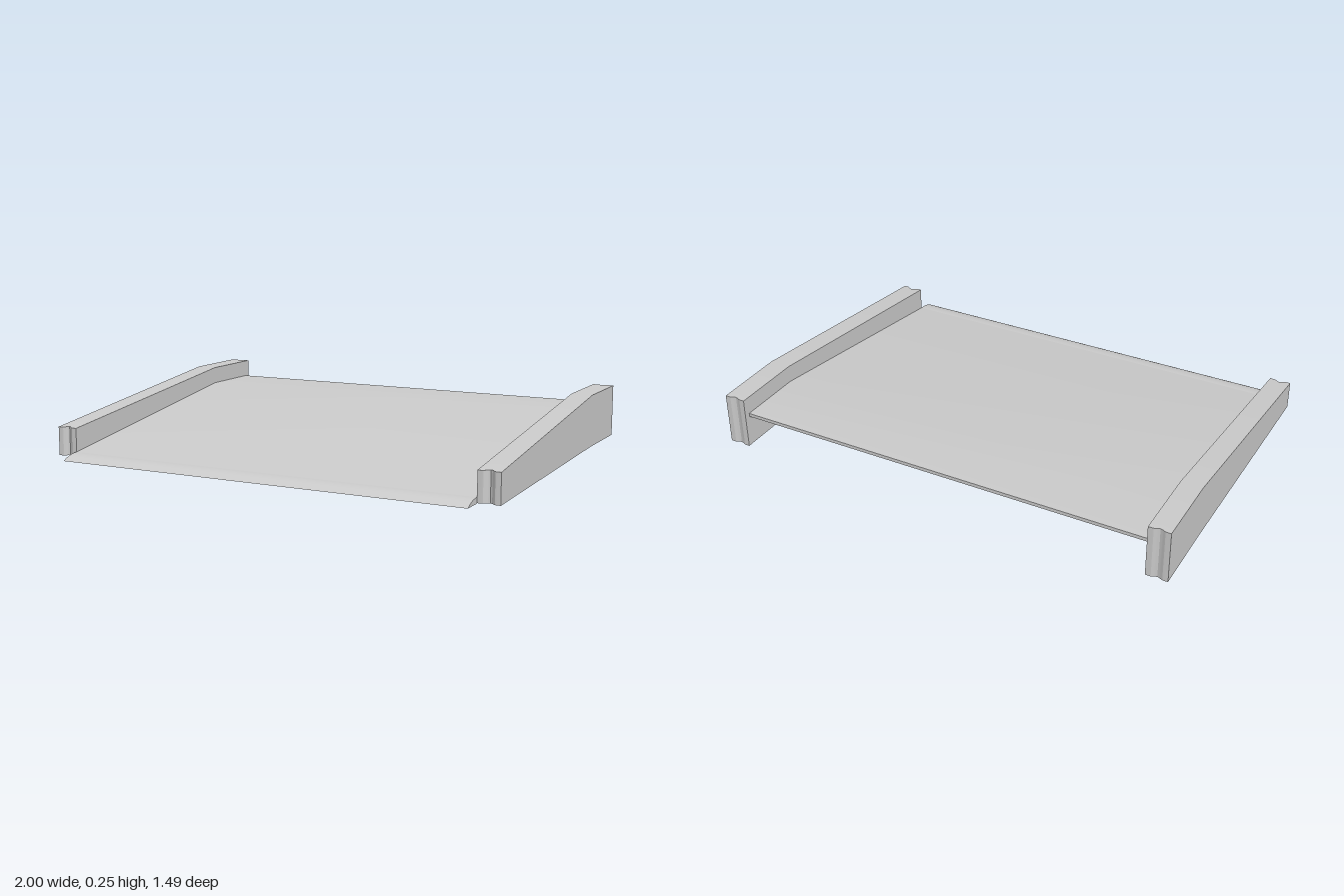
import * as THREE from 'three';
import { toCreasedNormals } from 'three/addons/utils/BufferGeometryUtils.js';

const HALF = 0.908;   // half width between the rails
const FRONT = 0.655, KINK = -0.43, BACK = -0.745;

const material = new THREE.MeshStandardMaterial({ color: 0xcccccc });

// Straight slope from the front to the kink, then level
function slope(z, yFront, yBack) {
  const t = Math.min(1, Math.max(0, (FRONT - z) / (FRONT - KINK)));
  return yFront + (yBack - yFront) * t;
}

// Side profile in (z, y), extruded across the width
function acrossWidth(name, shape) {
  const geo = new THREE.ExtrudeGeometry(shape, { depth: 2 * HALF, bevelEnabled: false, curveSegments: 10 });
  geo.rotateY(-Math.PI / 2);
  geo.translate(HALF, 0, 0);
  const mesh = new THREE.Mesh(toCreasedNormals(geo, 0.4), material);
  mesh.name = name;
  return mesh;
}

// Rail: a box whose rows are moved to the sloped outline, with a groove in each end
function rail(name, side) {
  const width = 1 - HALF;
  const box = new THREE.BoxGeometry(width, 1, 1, 12, 1, 2);
  const p = box.attributes.position;
  for (let i = 0; i < p.count; i++) {
    const u = p.getX(i) / width, end = p.getZ(i);
    const groove = Math.abs(u) < 0.3 ? 0.5 + 0.5 * Math.cos(Math.PI * u / 0.3) : 0;
    let z = KINK;
    if (end > 0.1) z = FRONT - 0.016 * groove;
    if (end < -0.1) z = BACK + 0.009 * groove;
    p.setZ(i, z);
    p.setY(i, p.getY(i) > 0 ? slope(z, 0.125, 0.255) : slope(z, 0.002, 0.031));
  }
  const mesh = new THREE.Mesh(toCreasedNormals(box, 0.3), material);
  mesh.position.x = side * (1 + HALF) / 2;
  mesh.name = name;
  return mesh;
}

export function createModel() {
  const model = new THREE.Group();
  model.name = 'ramp';

  // Thin deck that slopes up and levels off at the back
  const deck = new THREE.Shape([
    [FRONT, 0.024], [KINK, 0.18], [-0.72, 0.18],
    [-0.72, 0.165], [KINK, 0.165], [FRONT, 0.009],
  ].map(([z, y]) => new THREE.Vector2(z, y)));
  model.add(acrossWidth('deck', deck));

  // Rounded entry lip at the front
  const lip = new THREE.Shape();
  lip.moveTo(FRONT, 0);
  lip.lineTo(0.742, 0);
  lip.quadraticCurveTo(0.705, 0.024, FRONT, 0.024);
  lip.closePath();
  model.add(acrossWidth('frontLip', lip));

  model.add(rail('leftRail', 1), rail('rightRail', -1));
  return model;
}
